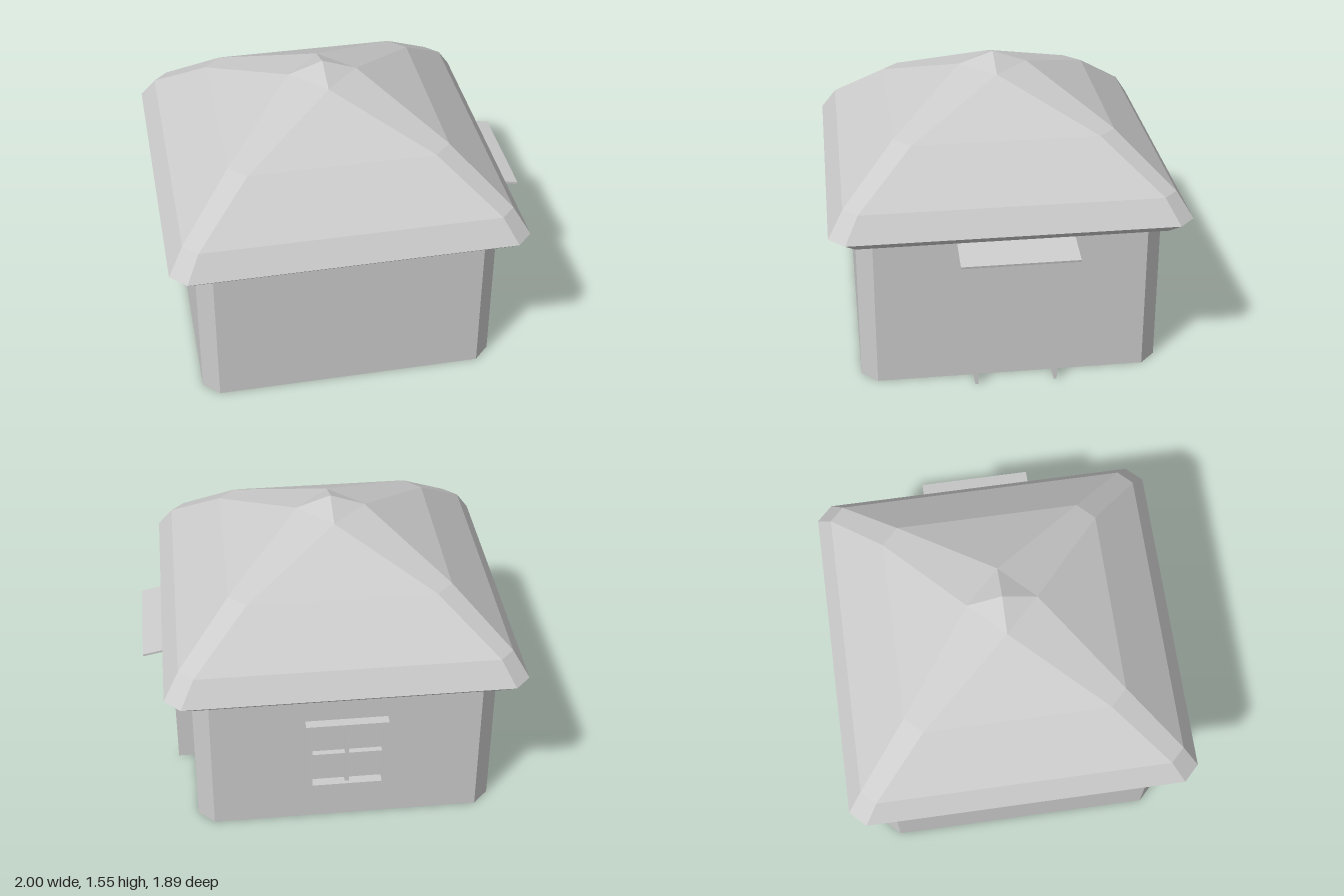
import * as THREE from 'three';

const CENTER_X = -0.054;

// Square ring with cut corners: a = half width, b = half length of the flat side.
const ring = ([a, b, y]) =>
  [[a, -b], [a, b], [b, a], [-b, a], [-a, b], [-a, -b], [-b, -a], [b, -a]]
    .map(([x, z]) => new THREE.Vector3(x, y, z));

// Flat-shaded solid through a stack of rings, skipping collapsed triangles.
function stackGeometry(profile) {
  const rings = profile.map(ring);
  const pos = [];
  const tri = (p, q, r) => {
    const area = q.clone().sub(p).cross(r.clone().sub(p)).length();
    if (area > 1e-7) for (const v of [p, q, r]) pos.push(v.x, v.y, v.z);
  };
  for (let k = 0; k < rings.length - 1; k++) {
    const lo = rings[k], up = rings[k + 1];
    for (let i = 0; i < 8; i++) {
      const j = (i + 1) % 8;
      tri(lo[i], up[i], up[j]);
      tri(lo[i], up[j], lo[j]);
    }
  }
  const geo = new THREE.BufferGeometry();
  geo.setAttribute('position', new THREE.Float32BufferAttribute(pos, 3));
  geo.computeVertexNormals();
  return geo;
}

export function createModel() {
  const model = new THREE.Group();
  model.name = 'hut';
  const material = new THREE.MeshStandardMaterial({ color: 0xcccccc, flatShading: true });

  const add = (parent, name, geo, x, y, z) => {
    const mesh = new THREE.Mesh(geo, material);
    mesh.name = name;
    mesh.position.set(x, y, z);
    parent.add(mesh);
    return mesh;
  };
  const box = (parent, name, w, h, d, x, y, z) =>
    add(parent, name, new THREE.BoxGeometry(w, h, d), x, y, z);

  // Walls with cut corners
  add(model, 'walls', stackGeometry([
    [0, 0, 0], [0.808, 0.723, 0], [0.808, 0.723, 0.87], [0, 0, 0.87],
  ]), CENTER_X, 0, 0);

  // Domed hip roof; the cut corners widen until the top becomes a diamond
  add(model, 'roof', stackGeometry([
    [0, 0, 0.86], [0.89, 0.81, 0.86], [0.946, 0.862, 0.91], [0.865, 0.79, 1.04],
    [0.585, 0.495, 1.28], [0.185, 0, 1.49], [0, 0, 1.555],
  ]), CENTER_X, 0, 0);

  // Doorway on the left side: two thin posts under a sloping canopy
  const doorway = new THREE.Group();
  doorway.name = 'doorway';
  model.add(doorway);
  for (const z of [0.198, -0.228])
    box(doorway, 'doorPost', 0.11, 0.836, 0.016, 0.795, 0.418, z);
  const canopy = box(doorway, 'canopy', 0.262, 0.012, 0.615, 0.872, 0.833, -0.016);
  canopy.rotation.z = -0.2;

  // Window on the back: square frame with a cross of glazing bars
  const frameWindow = new THREE.Group();
  frameWindow.name = 'window';
  frameWindow.position.set(CENTER_X, 0.45, -0.86);
  model.add(frameWindow);
  const square = (s) => [[-s, -s], [s, -s], [s, s], [-s, s]].map(([x, y]) => new THREE.Vector2(x, y));
  const outline = new THREE.Shape(square(0.22));
  outline.holes.push(new THREE.Path(square(0.188)));
  add(frameWindow, 'windowFrame',
    new THREE.ExtrudeGeometry(outline, { depth: 0.06, bevelEnabled: false }), 0, 0, 0);
  box(frameWindow, 'glazingBar', 0.022, 0.38, 0.035, 0, 0, 0.038);
  box(frameWindow, 'glazingBar', 0.38, 0.022, 0.035, 0, 0, 0.038);

  return model;
}
